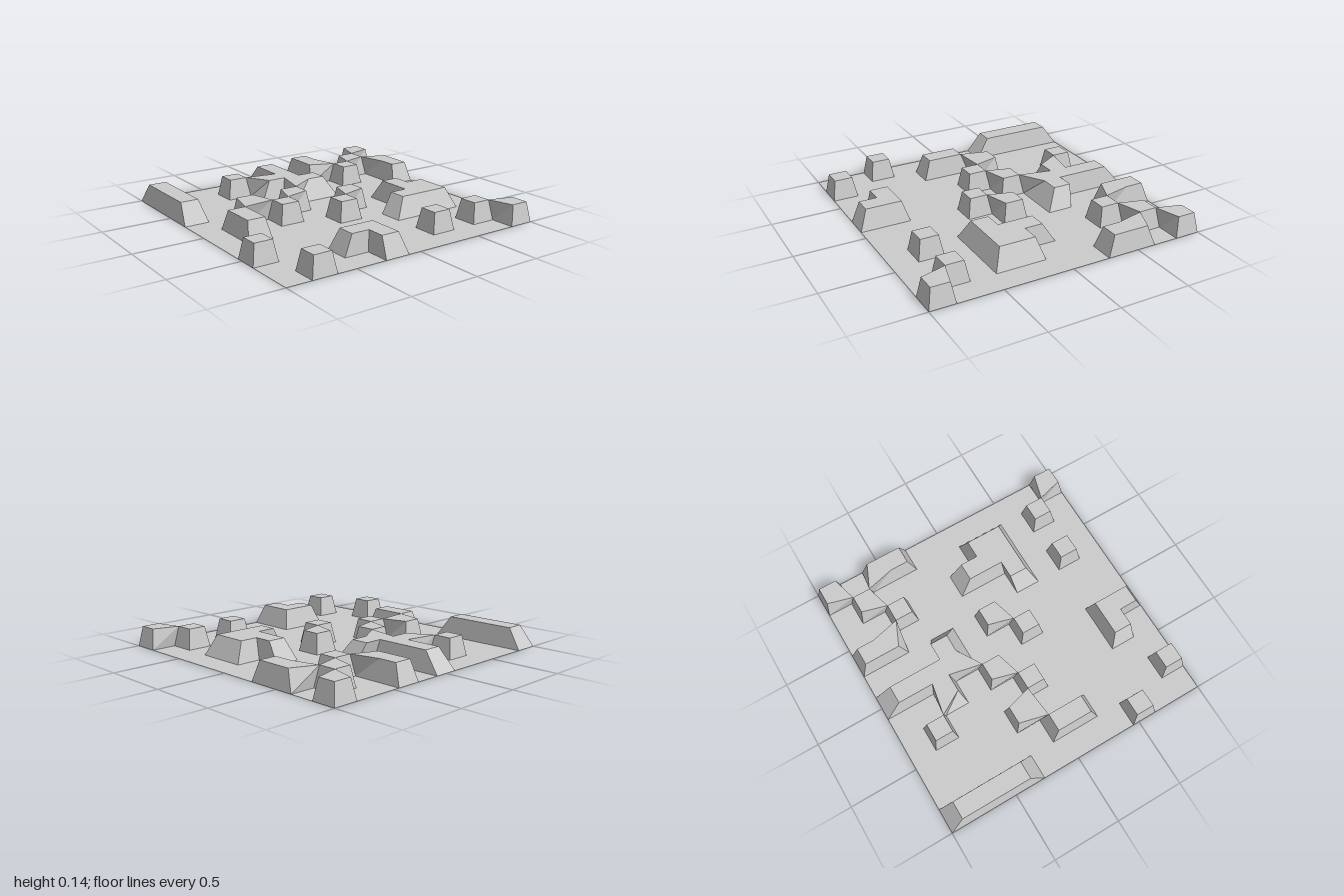
import * as THREE from 'three';

const N = 11;            // cells per side
const CELL = 2 / N;
const HEIGHT = 0.145;
const TAPER = 0.72;      // top outline relative to base outline

// Raised islands as [column, row] cells; where two touch at a corner, the later one sets the shared top corner.
const ISLANDS = [
  [[0, 0]],
  [[2, 0], [3, 0]],
  [[10, 0]],
  [[1, 1]],
  [[9, 1]],
  [[6, 1], [7, 1], [5, 2], [6, 2], [7, 2], [7, 3]],
  [[0, 3], [1, 3]],
  [[2, 2]],
  [[9, 3]],
  [[5, 4]],
  [[6, 5]],
  [[3, 4], [0, 5], [1, 5], [2, 5], [3, 5], [2, 6]],
  [[4, 6]],
  [[1, 7]],
  [[9, 6], [10, 6], [9, 7]],
  [[4, 8]],
  [[5, 7]],
  [[5, 9], [6, 9]],
  [[10, 9]],
  [[0, 10], [1, 10], [2, 10], [3, 10]],
  [[8, 10]],
];

const key = (c, r) => `${c},${r}`;
const base = (c, r) => [c * CELL - 1, 0, r * CELL - 1];
// Cell corners, counter-clockwise seen from above
const corners = (c, r) => [[c, r], [c, r + 1], [c + 1, r + 1], [c + 1, r]];
// Neighbour across the edge that starts at each corner
const NEIGHBOURS = [[-1, 0], [0, 1], [1, 0], [0, -1]];

function quadMesh(name, quads, material) {
  const points = quads.flatMap(([a, b, c, d]) => [a, b, c, a, c, d]).flat();
  const geometry = new THREE.BufferGeometry();
  geometry.setAttribute('position', new THREE.Float32BufferAttribute(points, 3));
  geometry.computeVertexNormals();
  const mesh = new THREE.Mesh(geometry, material);
  mesh.name = name;
  return mesh;
}

export function createModel() {
  const group = new THREE.Group();
  group.name = 'reliefTile';
  const material = new THREE.MeshStandardMaterial({
    color: 0xcccccc, flatShading: true, side: THREE.DoubleSide,
  });

  // Top corners: each island shrinks towards its own centre
  const top = new Map();
  const raised = new Set();
  for (const cells of ISLANDS) {
    const mean = (i) => cells.reduce((sum, cell) => sum + cell[i] + 0.5, 0) / cells.length;
    const cx = mean(0) * CELL - 1;
    const cz = mean(1) * CELL - 1;
    for (const [c, r] of cells) {
      raised.add(key(c, r));
      for (const [i, j] of corners(c, r)) {
        const [x, , z] = base(i, j);
        top.set(key(i, j), [cx + (x - cx) * TAPER, HEIGHT, cz + (z - cz) * TAPER]);
      }
    }
  }

  // Flat ground, left open beneath the raised blocks
  const ground = [];
  for (let r = 0; r < N; r++) {
    for (let c = 0; c < N; c++) {
      if (!raised.has(key(c, r))) ground.push(corners(c, r).map((p) => base(...p)));
    }
  }
  group.add(quadMesh('ground', ground, material));

  // Raised blocks: flat tops plus sloping walls along the island outline
  ISLANDS.forEach((cells, index) => {
    const inside = new Set(cells.map((cell) => key(...cell)));
    const quads = [];
    for (const [c, r] of cells) {
      const ring = corners(c, r);
      quads.push(ring.map((p) => top.get(key(...p))));
      NEIGHBOURS.forEach(([dc, dr], k) => {
        if (inside.has(key(c + dc, r + dr))) return;
        const a = ring[k];
        const b = ring[(k + 1) % 4];
        quads.push([base(...a), base(...b), top.get(key(...b)), top.get(key(...a))]);
      });
    }
    group.add(quadMesh(`raisedBlock${index + 1}`, quads, material));
  });

  return group;
}
